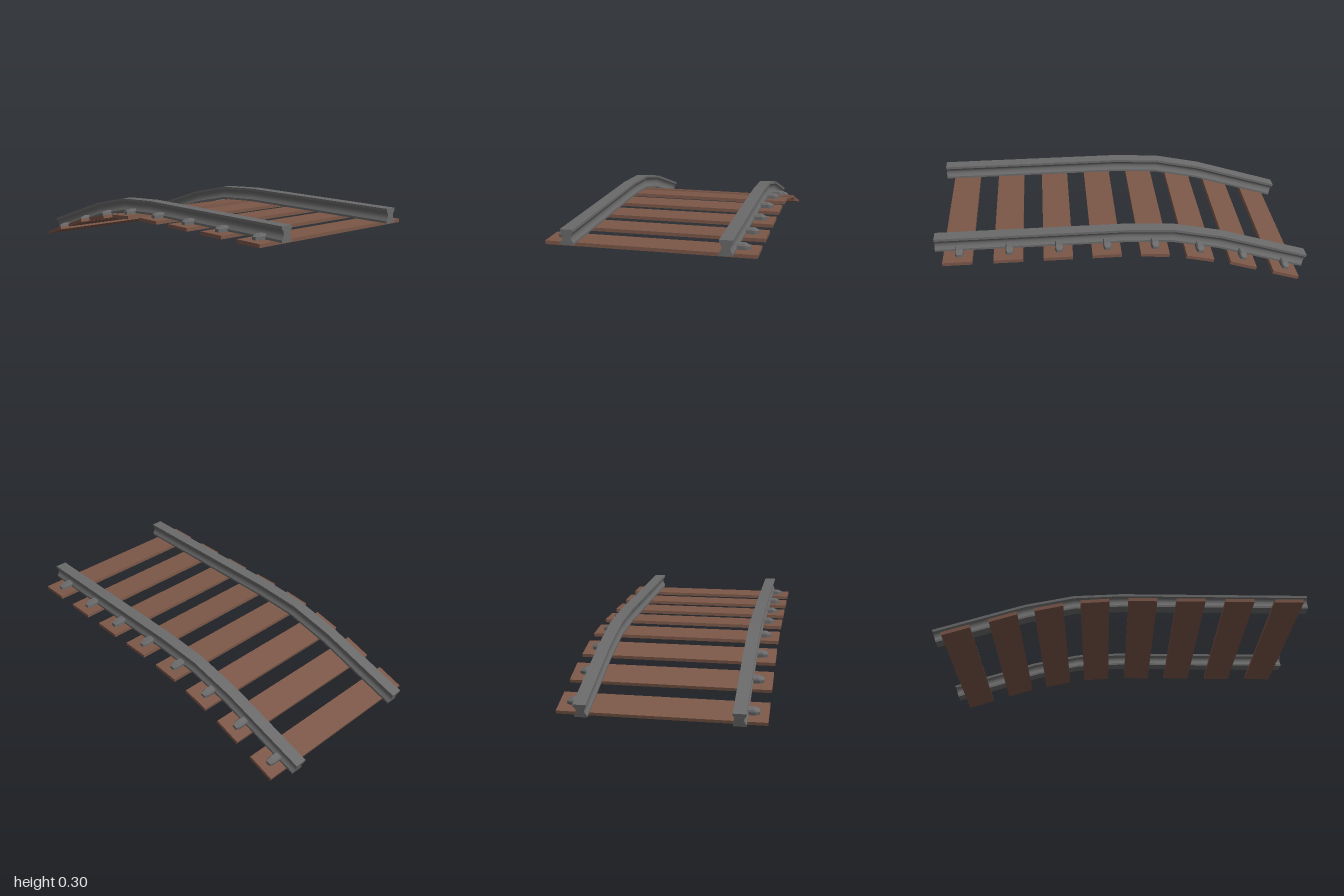
import * as THREE from 'three';
import { toCreasedNormals } from 'three/addons/utils/BufferGeometryUtils.js';
import { ConvexGeometry } from 'three/addons/geometries/ConvexGeometry.js';

const steel = new THREE.MeshStandardMaterial({ color: 0x6a6a6a });
const wood = new THREE.MeshStandardMaterial({ color: 0x7b5748 });

// Rail stations from front to back: base z, base y, top z, top y
const STATIONS = [
  [1, 0.23, 1, 0.306],
  [0, 0.23, -0.003, 0.306],
  [-0.25, 0.216, -0.26, 0.291],
  [-0.5, 0.161, -0.52, 0.235],
  [-0.974, 0.009, -1, 0.081],
];

// Right half of the rail section: x offset, height as a fraction
const HALF = [[0.032, 0], [0.032, 0.15], [0.024, 0.3], [0.02, 0.45], [0.02, 0.58], [0.024, 0.7], [0.032, 0.82], [0.032, 1]];

// Sleepers: z, y of the top face centre, downhill tilt in degrees
const SLEEPERS = [
  [0.878, 0.23, 0], [0.618, 0.23, 0], [0.36, 0.23, 0], [0.107, 0.23, 0],
  [-0.146, 0.219, 4.5], [-0.387, 0.181, 12.7], [-0.623, 0.121, 18], [-0.861, 0.043, 18],
];

// Sweep the rail section through the stations
function railGeometry() {
  const section = [...HALF, ...HALF.map(([x, h]) => [-x, h]).reverse()];
  const n = section.length;
  const pos = [];
  const index = [];
  for (const [zb, yb, zt, yt] of STATIONS) {
    for (const [x, h] of section) pos.push(x, yb + (yt - yb) * h, zb + (zt - zb) * h);
  }
  for (let i = 0; i < STATIONS.length - 1; i++) {
    for (let j = 0; j < n; j++) {
      const a = i * n + j;
      const b = i * n + (j + 1) % n;
      index.push(a, a + n, b + n, a, b + n, b);
    }
  }
  // End caps
  const last = (STATIONS.length - 1) * n;
  const outline = section.map(([x, h]) => new THREE.Vector2(x, h * 0.076));
  for (const [a, b, c] of THREE.ShapeUtils.triangulateShape(outline, [])) {
    index.push(a, b, c, last + a, last + c, last + b);
  }
  const geo = new THREE.BufferGeometry();
  geo.setAttribute('position', new THREE.Float32BufferAttribute(pos, 3));
  geo.setIndex(index);
  return toCreasedNormals(geo, THREE.MathUtils.degToRad(32));
}

// Rail clip: chamfered block that slopes down at its outer end
function clipGeometry(side) {
  const points = [];
  for (const s of [-1, 1]) {
    for (const [x, y, z] of [
      [0.385, 0, 0.021], [0.45, 0, 0.021], [0.47, 0, 0.013],
      [0.385, 0.018, 0.021], [0.448, 0.018, 0.021], [0.47, 0.016, 0.012],
      [0.385, 0.027, 0.016], [0.443, 0.027, 0.016],
    ]) points.push(new THREE.Vector3(side * x, y, s * z));
  }
  return new ConvexGeometry(points);
}

function addMesh(parent, name, geo, material) {
  const mesh = new THREE.Mesh(geo, material);
  mesh.name = name;
  parent.add(mesh);
  return mesh;
}

export function createModel() {
  const model = new THREE.Group();
  model.name = 'trackSection';

  // Two rails
  const rail = railGeometry();
  addMesh(model, 'leftRail', rail, steel).position.x = 0.375;
  addMesh(model, 'rightRail', rail, steel).position.x = -0.385;

  // Sleepers with a clip outside each rail
  const plank = new THREE.BoxGeometry(1.026, 0.018, 0.152);
  plank.translate(0, -0.009, 0);
  const leftClip = clipGeometry(1);
  const rightClip = clipGeometry(-1);
  SLEEPERS.forEach(([z, y, tilt], i) => {
    const tie = new THREE.Group();
    tie.name = `sleeperAssembly${i + 1}`;
    tie.position.set(0, y, z);
    tie.rotation.x = -THREE.MathUtils.degToRad(tilt);
    addMesh(tie, 'sleeper', plank, wood);
    addMesh(tie, 'leftClip', leftClip, steel).position.z = -0.006;
    addMesh(tie, 'rightClip', rightClip, steel).position.z = -0.006;
    model.add(tie);
  });
  return model;
}
